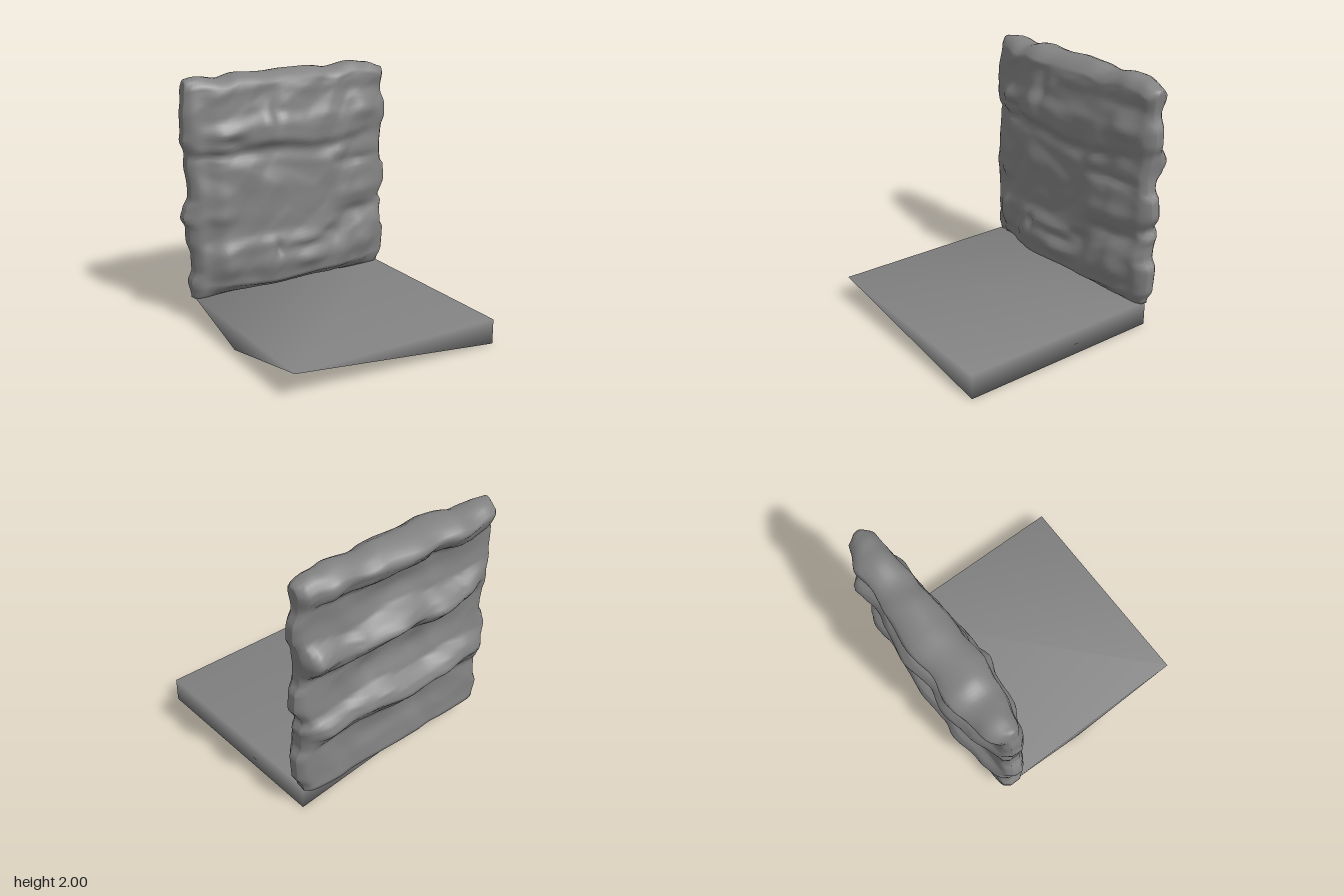
import * as THREE from 'three';
import { mergeVertices } from 'three/addons/utils/BufferGeometryUtils.js';

const { lerp, smoothstep } = THREE.MathUtils;

// Eased interpolation through [position, value] pairs
function curve(points, t) {
  if (t <= points[0][0]) return points[0][1];
  for (let i = 1; i < points.length; i++) {
    const [a, va] = points[i - 1], [b, vb] = points[i];
    if (t <= b) return lerp(va, vb, smoothstep(t, a, b));
  }
  return points[points.length - 1][1];
}

// Outline of the rock wall
const LEFT_EDGE = [[0.2, -0.88], [0.33, -0.905], [0.42, -0.87], [0.55, -0.875], [0.68, -0.905], [0.78, -0.905], [0.87, -0.95],
  [0.96, -0.925], [1.02, -0.885], [1.12, -0.88], [1.3, -0.9], [1.38, -0.89], [1.5, -0.93], [1.56, -0.92], [1.7, -0.92], [1.85, -0.9], [1.97, -0.885]];
const RIGHT_EDGE = [[0.2, 0.88], [0.32, 0.935], [0.5, 0.945], [0.58, 0.9], [0.68, 0.9], [0.76, 0.92], [0.81, 0.885], [0.95, 0.95],
  [1.08, 0.94], [1.14, 0.9], [1.25, 0.89], [1.42, 0.91], [1.52, 0.945], [1.62, 0.945], [1.74, 0.9], [1.93, 0.92]];
const TOP_EDGE = [[-0.88, 1.965], [-0.78, 1.975], [-0.6, 1.95], [-0.45, 1.985], [-0.2, 1.975], [0, 1.985], [0.2, 1.99], [0.38, 1.965],
  [0.6, 2], [0.75, 1.98], [0.92, 1.93]];

// Depth of the front by height, and how far it swells by width
const FRONT = [[0.19, -0.67], [0.23, -0.56], [0.29, -0.45], [0.45, -0.415], [0.58, -0.42], [0.7, -0.465], [0.85, -0.455],
  [1.05, -0.46], [1.25, -0.48], [1.36, -0.51], [1.45, -0.46], [1.55, -0.465], [1.68, -0.51], [1.85, -0.53], [1.94, -0.56], [2, -0.6]];
const SWELL = [[-0.95, 0], [-0.8, 0.25], [-0.63, 0.62], [-0.25, 1], [0, 0.95], [0.4, 0.68], [0.6, 0.52], [0.85, 0.2], [0.95, 0]];

// Depth of the back by height, and how far its three ledges stand out by width
const BACK = [[0.18, -0.8], [0.3, -0.79], [0.58, -0.785], [0.64, -0.85], [0.72, -0.92], [0.8, -0.89], [0.87, -0.79], [1.04, -0.785],
  [1.2, -0.785], [1.26, -0.88], [1.33, -0.93], [1.4, -0.89], [1.47, -0.79], [1.62, -0.785], [1.75, -0.785], [1.81, -0.88],
  [1.88, -0.925], [1.95, -0.9], [2, -0.84]];
const LEDGE = [[-0.92, 0.15], [-0.65, 0.65], [-0.37, 1], [-0.2, 0.75], [0.06, 1], [0.35, 0.75], [0.55, 0.55], [0.75, 0.75], [0.93, 0.2]];

// Local bulges and hollows: x, y, radius x, radius y, depth
const FRONT_RELIEF = [
  [-0.6, 1.54, 0.13, 0.05, 0.03], [-0.55, 1.46, 0.08, 0.04, -0.025], [-0.72, 1.37, 0.2, 0.03, -0.025],
  [-0.18, 1.7, 0.05, 0.13, -0.03], [-0.3, 1.64, 0.06, 0.1, 0.015], [0.25, 1.62, 0.2, 0.05, 0.025],
  [0.7, 1.62, 0.13, 0.09, 0.035], [0.65, 1.78, 0.2, 0.05, -0.02], [0.43, 1.3, 0.09, 0.06, 0.04],
  [0.6, 1.19, 0.2, 0.03, -0.025], [0.05, 1.0, 0.25, 0.25, -0.025], [0.38, 1.05, 0.07, 0.2, 0.015],
  [0.6, 0.92, 0.22, 0.07, 0.03], [0.6, 0.75, 0.2, 0.05, -0.035], [0.08, 0.54, 0.2, 0.05, -0.05],
  [0.3, 0.6, 0.1, 0.05, -0.035], [0.1, 0.43, 0.15, 0.05, 0.02], [-0.22, 0.57, 0.03, 0.06, -0.035],
  [0.68, 0.45, 0.12, 0.1, 0.035], [-0.7, 0.87, 0.15, 0.06, 0.02], [-0.6, 0.45, 0.12, 0.08, 0.02], [-0.42, 0.36, 0.08, 0.08, -0.02],
];
const BACK_RELIEF = [[-0.05, 1.04, 0.5, 0.13, 0.05], [0, 1.61, 0.5, 0.11, 0.04], [0.05, 0.45, 0.5, 0.1, 0.025], [0.3, 1.0, 0.08, 0.1, 0.02]];

const relief = (list, x, y) =>
  list.reduce((sum, [cx, cy, rx, ry, d]) => sum + d * Math.exp(-(((x - cx) / rx) ** 2) - ((y - cy) / ry) ** 2), 0);

// Creased unevenness of the rock
const fold = (t) => Math.asin(Math.sin(t)) / 1.57;
const ripple = (x, y) =>
  0.009 * fold(9 * x + 4 * Math.sin(5 * y)) + 0.008 * fold(13 * y - 8 * x + 2 * Math.sin(8 * x));

function frontDepth(x, y) {
  const shift = 0.03 * Math.sin(6 * x) * smoothstep(y, 0.3, 0.6);
  return -0.63 + (curve(FRONT, y + shift) + 0.63) * curve(SWELL, x) + ripple(x, y) + relief(FRONT_RELIEF, x, y);
}

function backDepth(x, y) {
  const shift = y > 0.4 && y < 1.8 ? 0.02 * Math.sin(7 * x + 3 * y) : 0;
  const ledge = (curve(BACK, y + shift) + 0.785) * curve(LEDGE, x + 0.08 * Math.sin(4 * y));
  return -0.785 + ledge + 0.7 * ripple(x + 3, y) + relief(BACK_RELIEF, x, y);
}

// Rock wall: a subdivided block fitted between the outline and the two relief surfaces
function rockWall() {
  const box = new THREE.BoxGeometry(2, 2, 2, 60, 60, 8);
  box.deleteAttribute('normal');
  box.deleteAttribute('uv');
  const geo = mergeVertices(box);
  const pos = geo.attributes.position;
  for (let i = 0; i < pos.count; i++) {
    const u = pos.getX(i), v = pos.getY(i), w = pos.getZ(i);
    const bottom = 0.195 - 0.012 * (1 - w) / 2;
    const y = lerp(bottom, curve(TOP_EDGE, u * 0.9) - 0.06 * Math.abs(w) ** 3, (v + 1) / 2);
    const x = lerp(curve(LEFT_EDGE, y), curve(RIGHT_EDGE, y), (u + 1) / 2);
    // round off the two ends
    const end = Math.max(0, (Math.abs(u) - 0.9) / 0.1);
    const z = lerp(backDepth(x, y), frontDepth(x, y), (w + 1) / 2);
    pos.setXYZ(i, x, y, lerp(-0.69, z, lerp(0.5, 1, Math.sqrt(1 - end * end))));
  }
  geo.computeVertexNormals();
  return geo;
}

// Base slab with both lower corners of one side cut away, shaded smoothly over shared corners
function baseSlab() {
  const corners = [
    -0.87, 0.2, 0.94, 0.88, 0.2, 0.94, 0.88, 0.2, -0.72, -0.87, 0.2, -0.72, // top
    0.88, 0, 0.94, 0.88, 0, -0.72, -0.86, 0, 0, // bottom
  ];
  const faces = [
    0, 1, 2, 0, 2, 3, // top
    0, 4, 1, 0, 6, 4, // front and its cut corner
    1, 4, 5, 1, 5, 2, // left side
    2, 5, 3, 3, 5, 6, // back and its cut corner
    3, 6, 0, // right side
    4, 6, 5, // underside
  ];
  const geo = new THREE.BufferGeometry();
  geo.setAttribute('position', new THREE.Float32BufferAttribute(corners, 3));
  geo.setIndex(faces);
  geo.computeVertexNormals();
  return geo;
}

export function createModel() {
  const model = new THREE.Group();
  model.name = 'rockWallOnSlab';
  const material = new THREE.MeshStandardMaterial({ color: 0x828282 });
  const add = (name, geometry) => {
    const mesh = new THREE.Mesh(geometry, material);
    mesh.name = name;
    model.add(mesh);
  };
  add('rockWall', rockWall());
  add('baseSlab', baseSlab());
  return model;
}
